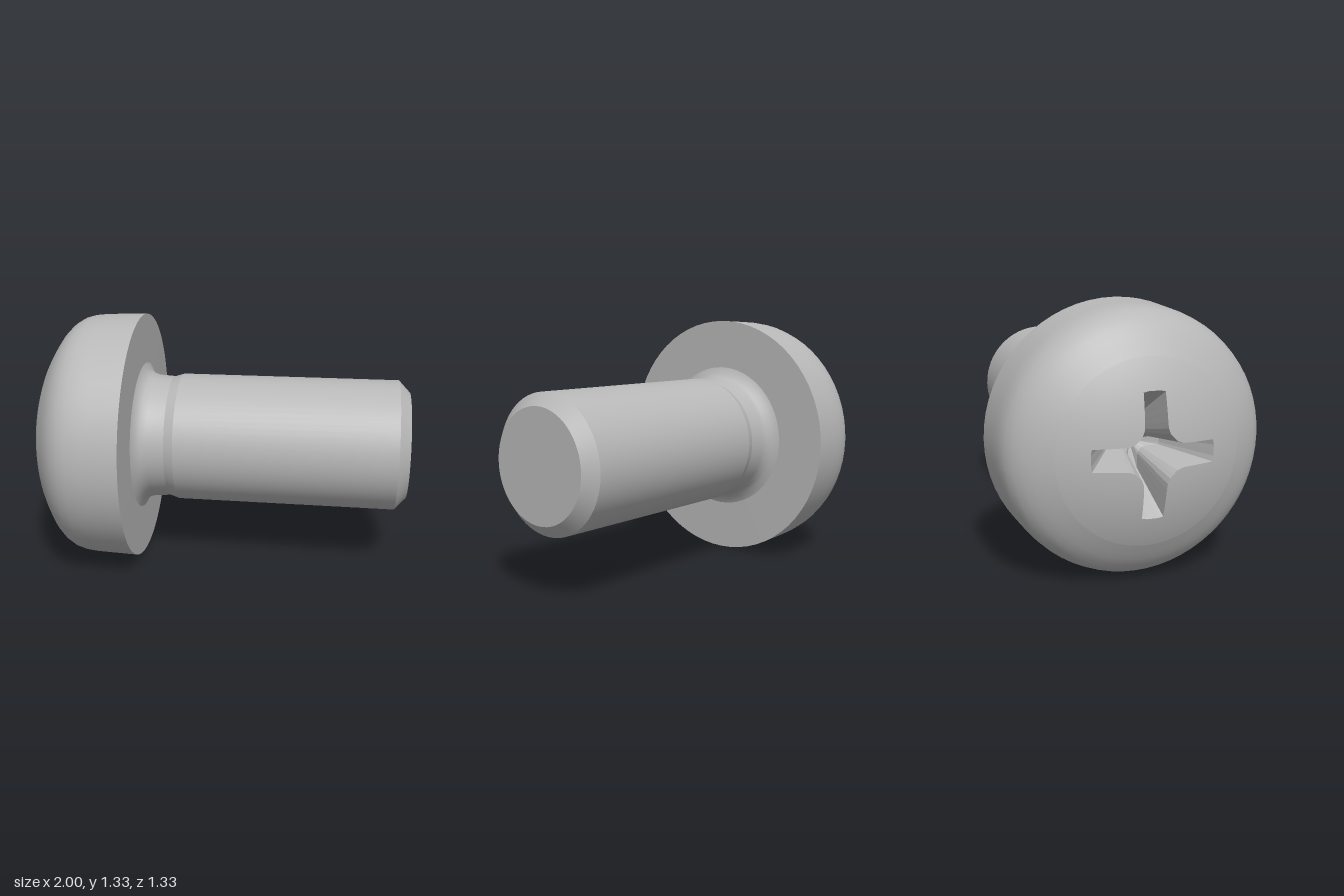
import * as THREE from 'three';

const SEG = 64;
const DOME_R = 1.07, APEX = -1.005, DOME_EDGE = 0.45;
const domeHeight = r => APEX + DOME_R - Math.sqrt(DOME_R * DOME_R - r * r);

// Cross-shaped outline, one point per segment, in the plane across the axis
function crossOutline() {
  const eighth = [[0.3, 0], [0.3, 0.027], [0.295, 0.053], [0.25, 0.054], [0.2, 0.055],
    [0.16, 0.056], [0.13, 0.058], [0.103, 0.068], [0.085, 0.085]];
  const quarter = [];
  for (let i = 0; i < 16; i++) {
    quarter.push(i <= 8 ? eighth[i] : [eighth[16 - i][1], eighth[16 - i][0]]);
  }
  const out = [];
  for (let q = 0; q < 4; q++) {
    const c = Math.round(Math.cos(q * Math.PI / 2)), s = Math.round(Math.sin(q * Math.PI / 2));
    for (const [x, z] of quarter) out.push([c * x - s * z, s * x + c * z]);
  }
  return out;
}

// Skin a list of closed rings, ordered from the inside outwards
function skin(rings) {
  const n = rings[0].length, index = [];
  for (let k = 0; k < rings.length - 1; k++) {
    for (let i = 0; i < n; i++) {
      const j = (i + 1) % n, a = k * n, b = a + n;
      index.push(a + i, b + i, a + j, a + j, b + i, b + j);
    }
  }
  const geo = new THREE.BufferGeometry();
  geo.setAttribute('position', new THREE.Float32BufferAttribute(rings.flat(2), 3));
  geo.setIndex(index);
  return geo;
}

export function createModel() {
  const steel = new THREE.MeshStandardMaterial({ color: 0xb8b8b8 });
  const screw = new THREE.Group();
  screw.name = 'screw';

  const add = (name, geo) => {
    const mesh = new THREE.Mesh(geo, steel);
    mesh.name = name;
    screw.add(mesh);
  };
  // Each profile point is [radius, distance along the axis]
  const turned = (name, pts) =>
    add(name, new THREE.LatheGeometry(pts.map(p => new THREE.Vector2(...p)), SEG));

  // Domed face around the cross recess, with exact sphere normals
  const cross = crossOutline();
  const rings = [];
  for (let k = 0; k <= 8; k++) {
    rings.push(cross.map(([x, z], i) => {
      const a = i / SEG * Math.PI * 2, t = k / 8;
      const px = x + (DOME_EDGE * Math.cos(a) - x) * t;
      const pz = z + (DOME_EDGE * Math.sin(a) - z) * t;
      return [px, domeHeight(Math.hypot(px, pz)), pz];
    }));
  }
  const dome = skin(rings);
  dome.setAttribute('normal', new THREE.Float32BufferAttribute(
    rings.flat().flatMap(([x, y, z]) => [x / DOME_R, (y - APEX - DOME_R) / DOME_R, z / DOME_R]), 3));
  add('headFace', dome);

  // Tapered recess with a shallow pointed floor
  const floor = cross.map(([x, z]) => [x * 0.45, -0.7, z * 0.45]);
  const tip = cross.map(() => [0, -0.65, 0]);
  const recess = skin([tip, floor, rings[0]]).toNonIndexed();
  recess.computeVertexNormals();
  add('crossRecess', recess);

  // Rounded head side and flat underside
  turned('headSide', [[DOME_EDGE, domeHeight(DOME_EDGE)], [0.5, -0.878], [0.54, -0.853], [0.58, -0.825],
    [0.615, -0.79], [0.64, -0.75], [0.653, -0.705], [0.659, -0.65], [0.661, -0.6], [0.667, -0.432]]);
  turned('headUnderside', [[0.667, -0.432], [0.4, -0.43]]);

  // Fillet, neck and shank
  turned('neckFillet', [[0.4, -0.43], [0.365, -0.415], [0.345, -0.39], [0.335, -0.36], [0.329, -0.27]]);
  turned('neckShoulder', [[0.329, -0.27], [0.345, -0.22]]);
  turned('shank', [[0.345, -0.22], [0.348, 0.94]]);

  // Chamfered end
  turned('endChamfer', [[0.348, 0.94], [0.285, 1]]);
  turned('endFace', [[0.285, 1], [0, 1]]);

  // Lay the axis along x, head towards -x
  screw.rotation.z = -Math.PI / 2;
  screw.position.y = 0.667;
  const model = new THREE.Group();
  model.name = 'machineScrew';
  model.add(screw);
  return model;
}
